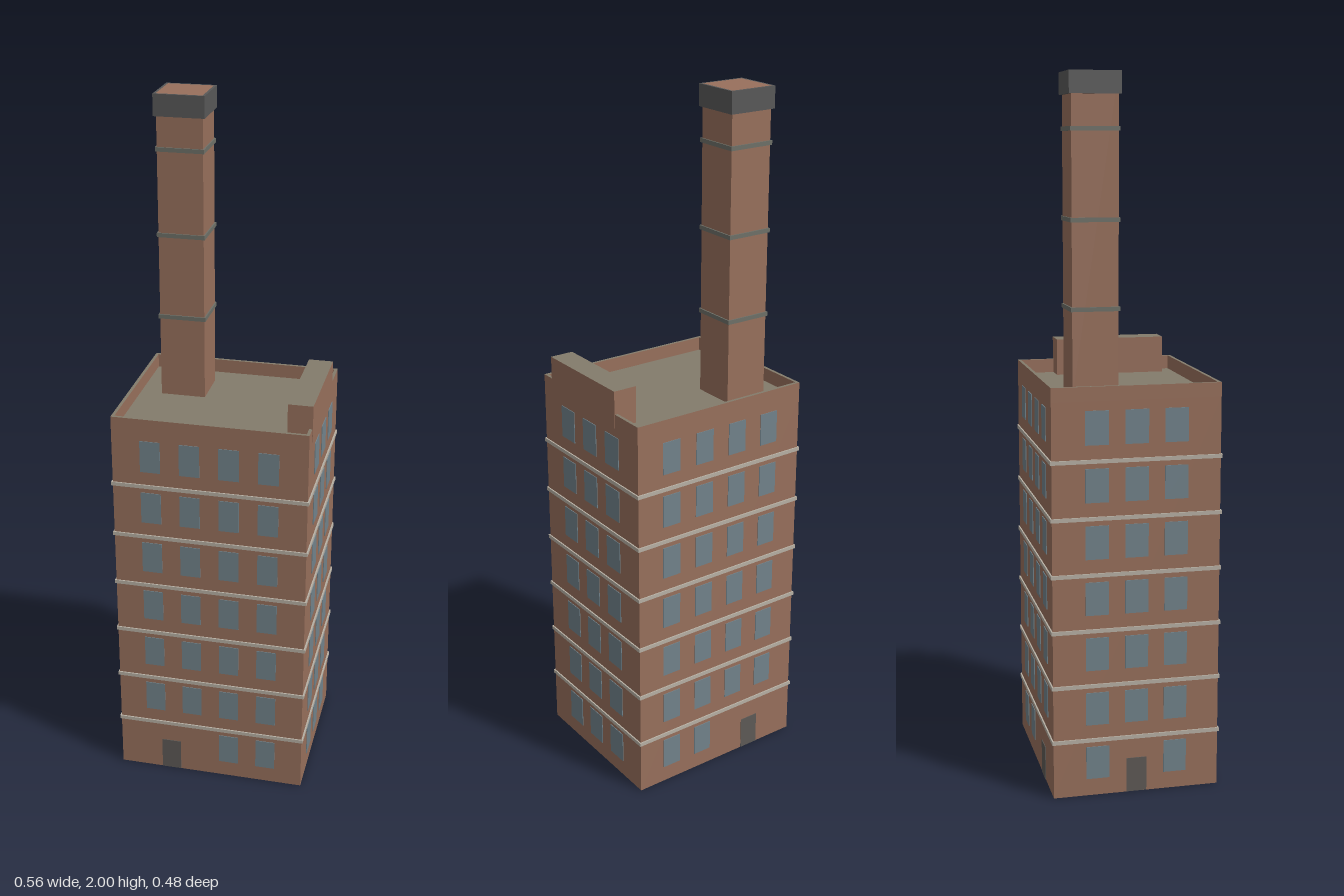
import * as THREE from 'three';

const mat = (name, color) => {
  const m = new THREE.MeshStandardMaterial({ color });
  m.name = name;
  return m;
};

export function createModel() {
  const brick = mat('brick', 0x98705c);
  const roof = mat('roof', 0x837b6b);
  const glass = mat('glass', 0x72838b);
  const doorGrey = mat('door grey', 0x5e5a56);
  const stone = mat('pale stone', 0xb8b1a5);
  const capGrey = mat('cap grey', 0x585858);
  const iron = mat('band iron', 0x6e7068);
  const model = new THREE.Group();
  model.name = 'chimneyBuilding';

  const add = (name, geo, material, x, y, z, parent = model) => {
    const m = new THREE.Mesh(geo, material);
    m.name = name;
    m.position.set(x, y, z);
    parent.add(m);
    return m;
  };
  const box = (name, w, h, d, material, x, y, z, parent) =>
    add(name, new THREE.BoxGeometry(w, h, d), material, x, y, z, parent);

  // rectangular frame lying flat: half sizes, wall thickness, bottom and height
  const rect = (P, a, b) => {
    const p = new P();
    p.moveTo(-a, -b); p.lineTo(a, -b); p.lineTo(a, b); p.lineTo(-a, b); p.closePath();
    return p;
  };
  const ring = (name, a, b, t, y, h, materials, x = 0, z = 0) => {
    const s = rect(THREE.Shape, a, b);
    s.holes.push(rect(THREE.Path, a - t, b - t));
    const g = new THREE.ExtrudeGeometry(s, { depth: h, bevelEnabled: false });
    g.rotateX(-Math.PI / 2);
    return add(name, g, materials, x, y, z);
  };

  const W = 0.278, D = 0.238, DECK = 1.13, TOP = 1.17;
  const walled = [brick, brick, roof, roof, brick, brick]; // box with roof-coloured top and bottom

  // main block, parapet and raised roof box
  box('building', W * 2, DECK, D * 2, walled, 0, DECK / 2, 0);
  ring('parapet', W, D, 0.009, DECK, TOP - DECK, [roof, brick]);
  box('roofBox', 0.07, 0.107, 0.325, walled, 0.2445, DECK + 0.0535, 0.0325);

  // stone courses between floors
  for (let i = 1; i <= 6; i++)
    ring('floorBand', W + 0.004, D + 0.004, 0.008, i * 0.16 - 0.001, 0.011, stone);

  // each wall: local x along the wall, local z outwards
  const T = 0.004;
  const wall = (name, angle, dist, cols, w, doorX, skip) => {
    const g = new THREE.Group();
    g.name = name;
    g.rotation.y = angle;
    model.add(g);
    for (let row = 0; row < 7; row++)
      cols.forEach((x, c) => {
        if (row === 0 && skip.includes(c)) return;
        box('window', w, 0.095, T, glass, x, 0.097 + row * 0.16, dist, g);
      });
    if (doorX !== null) box('door', 0.058, 0.1, T, doorGrey, doorX, 0.051, dist, g);
  };
  const four = [-0.168, -0.056, 0.056, 0.168], three = [-0.112, 0, 0.112];
  wall('frontWall', 0, D, four, 0.058, -0.122, [0, 1]);
  wall('backWall', Math.PI, D, four, 0.058, 0.122, [2, 3]);
  wall('leftWall', Math.PI / 2, W, three, 0.066, null, []);
  wall('rightWall', -Math.PI / 2, W, three, 0.066, 0, [1]);

  // chimney with iron bands and a dark collar
  const cx = -0.142, cz = -0.1, r = 0.0645;
  box('chimney', r * 2, 2 - DECK, r * 2, brick, cx, (2 + DECK) / 2, cz);
  for (const y of [1.37, 1.61, 1.85])
    ring('chimneyBand', r + 0.004, r + 0.004, 0.006, y - 0.006, 0.012, iron, cx, cz);
  ring('chimneyCollar', r + 0.007, r + 0.007, 0.007, 1.94, 0.06, capGrey, cx, cz);

  return model;
}
